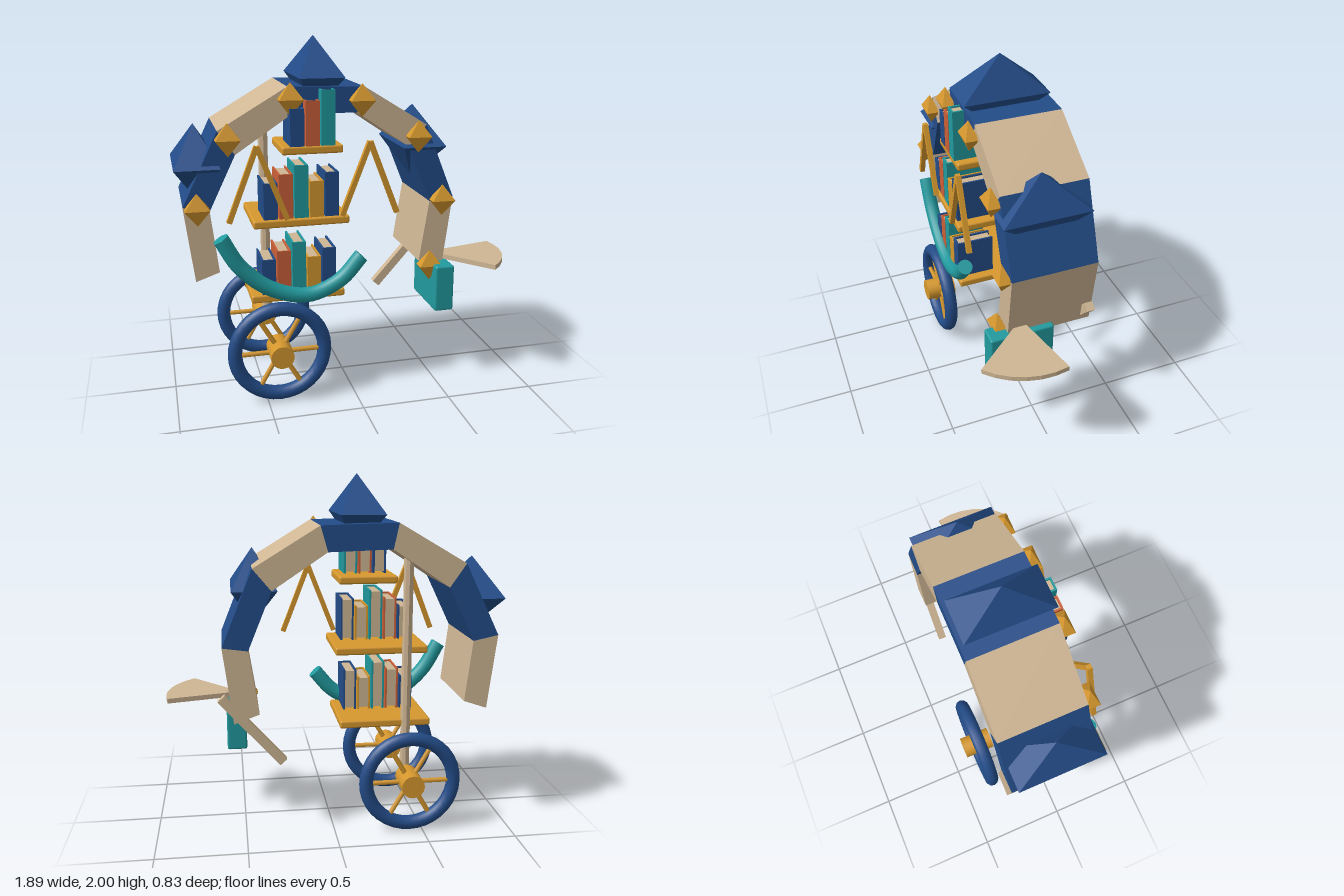
import * as THREE from 'three';
import { RoundedBoxGeometry } from 'three/addons/geometries/RoundedBoxGeometry.js';

const mat = (name, color) => {
  const m = new THREE.MeshStandardMaterial({ color });
  m.name = name;
  return m;
};

export function createModel() {
  const tan = mat('parchment tan', 0xcfb694);
  const blue = mat('royal blue', 0x234c88);
  const gold = mat('brass gold', 0xd6982e);
  const teal = mat('teal', 0x219a9e);
  const orange = mat('burnt orange', 0xcb6039);

  const model = new THREE.Group();
  model.name = 'wheeledBookArch';
  const add = (name, geo, material, x = 0, y = 0, z = 0, parent = model) => {
    const mesh = new THREE.Mesh(geo, material);
    mesh.name = name;
    mesh.position.set(x, y, z);
    parent.add(mesh);
    return mesh;
  };
  // flat bar between two points of a plane facing z
  const bar = (name, a, b, width, depth, z, material, parent = model) => {
    const dx = b[0] - a[0], dy = b[1] - a[1];
    const mesh = add(name, new THREE.BoxGeometry(Math.hypot(dx, dy), width, depth), material,
      (a[0] + b[0]) / 2, (a[1] + b[1]) / 2, z, parent);
    mesh.rotation.z = Math.atan2(dy, dx);
    return mesh;
  };
  // double pyramid with a square waist
  const bipyramid = (hx, hy, hz) => new THREE.OctahedronGeometry(1)
    .rotateY(Math.PI / 4).scale(hx * Math.SQRT2, hy, hz * Math.SQRT2);

  // arch: seven alternating blocks between outer and inner joints
  const outer = [[-0.86, 0.71], [-0.91, 1.13], [-0.715, 1.53], [-0.34, 1.75],
    [0.08, 1.74], [0.44, 1.52], [0.61, 1.1], [0.555, 0.675]];
  const inner = [[-0.73, 0.755], [-0.77, 1.1], [-0.625, 1.4], [-0.31, 1.61],
    [0.04, 1.6], [0.34, 1.4], [0.47, 1.08], [0.415, 0.725]];
  for (let i = 0; i < 7; i++) {
    const shape = new THREE.Shape([inner[i], outer[i], outer[i + 1], inner[i + 1]]
      .map(p => new THREE.Vector2(...p)));
    add('archBlock' + (i + 1),
      new THREE.ExtrudeGeometry(shape, { depth: 0.488, bevelEnabled: false }),
      i % 2 ? blue : tan, 0, 0, -0.308);
  }

  // pointed roofs sunk into the blue blocks
  for (const [x, y] of [[-0.825, 1.33], [-0.153, 1.79], [0.43, 1.395]])
    add('roof', bipyramid(0.123, 0.212, 0.245), blue, x, y, -0.045);

  // gems at the joints
  for (const [x, y] of [[-0.837, 1.12], [-0.665, 1.485], [-0.33, 1.685], [0.06, 1.67],
    [0.385, 1.46], [0.535, 1.09], [0.47, 0.705]])
    add('gem', bipyramid(0.066, 0.09, 0.038), gold, x, y, 0.208);

  // post behind the shelves
  add('post', new THREE.CylinderGeometry(0.028, 0.028, 1.27, 8).toNonIndexed(), tan,
    -0.425, 0.94, -0.182).geometry.computeVertexNormals();

  // books: covers, spine and page block
  const addBook = (x, y, h, cover) => {
    const book = new THREE.Group();
    book.name = 'book';
    book.position.set(x, y, 0.135);
    model.add(book);
    const w = 0.076, d = 0.22, t = 0.01;
    for (const s of [-1, 1])
      add('cover', new THREE.BoxGeometry(t, h, d), cover, s * (w - t) / 2, h / 2, 0, book);
    add('spine', new THREE.BoxGeometry(w - 2 * t, h, t), cover, 0, h / 2, (d - t) / 2, book);
    add('pages', new THREE.BoxGeometry(w - 2 * t, h - 0.02, d - 0.02), tan, 0, h / 2, 0, book);
  };

  // shelves: x range, centre height, z range, first book, book heights
  const covers = [blue, orange, teal, gold, blue];
  const shelves = [
    [-0.57, -0.045, 0.602, -0.19, 0.25, -0.47, [0.2, 0.245, 0.29, 0.2, 0.245]],
    [-0.55, -0.02, 1.028, -0.175, 0.26, -0.452, [0.2, 0.245, 0.29, 0.2, 0.245]],
    [-0.385, -0.05, 1.418, -0.1, 0.24, -0.302, [0.2, 0.24, 0.295]],
  ];
  for (const [x0, x1, y, z0, z1, first, heights] of shelves) {
    add('shelf', new RoundedBoxGeometry(x1 - x0, 0.045, z1 - z0, 2, 0.012), gold,
      (x0 + x1) / 2, y, (z0 + z1) / 2);
    heights.forEach((h, i) => addBook(first + i * 0.084, y + 0.0225, h, covers[i]));
  }

  // gold angled braces
  for (const x of [-0.525, 0.085])
    for (const s of [-1, 1])
      bar('brace', [x + s * 0.155, 1.06], [x, 1.46], 0.028, 0.028, 0.282, gold);

  // curved teal bumper with closed ends
  const path = new THREE.CatmullRomCurve3([[-0.725, 0.965], [-0.625, 0.795], [-0.46, 0.66],
    [-0.255, 0.607], [-0.07, 0.68], [0.05, 0.81]].map(([x, y]) => new THREE.Vector3(x, y, 0.248)));
  add('bumper', new THREE.TubeGeometry(path, 28, 0.044, 14), teal);
  for (const [t, s] of [[0, -1], [1, 1]]) {
    const p = path.getPoint(t);
    const cap = add('bumperEnd', new THREE.CircleGeometry(0.044, 14), teal, p.x, p.y, p.z);
    cap.quaternion.setFromUnitVectors(new THREE.Vector3(0, 0, 1),
      path.getTangent(t).multiplyScalar(s));
  }

  // wheels with hub and six spokes
  for (const z of [0.283, -0.327]) {
    const wheel = new THREE.Group();
    wheel.name = 'wheel';
    wheel.position.set(-0.425, 0.298, z);
    model.add(wheel);
    add('tyre', new THREE.TorusGeometry(0.252, 0.04, 10, 36), blue, 0, 0, 0, wheel);
    add('hub', new THREE.CylinderGeometry(0.065, 0.065, 0.18, 16).rotateX(Math.PI / 2),
      gold, 0, 0, 0, wheel);
    for (let i = 0; i < 3; i++)
      add('spokePair', new THREE.CylinderGeometry(0.014, 0.014, 0.46, 8), gold, 0, 0, 0, wheel)
        .rotation.z = Math.PI / 2 + i * Math.PI / 3;
  }

  // teal box at the end of the arch
  add('box', new RoundedBoxGeometry(0.113, 0.272, 0.37, 2, 0.012), teal, 0.538, 0.58, 0.105);

  // fan plate lying on the box
  const fan = new THREE.Shape([new THREE.Vector2(0, 0)]);
  for (let i = 0; i <= 6; i++) {
    const a = THREE.MathUtils.degToRad(-49.5 + i * 63 / 6);
    fan.lineTo(0.43 * Math.cos(a), 0.43 * Math.sin(a));
  }
  add('fanPlate', new THREE.ExtrudeGeometry(fan, { depth: 0.028, bevelEnabled: false })
    .rotateX(-Math.PI / 2), tan, 0.51, 0.717, 0.087);

  // slanted stick at the back
  bar('stick', [0.287, 0.437], [0.622, 0.815], 0.05, 0.045, -0.273, tan);

  return model;
}
